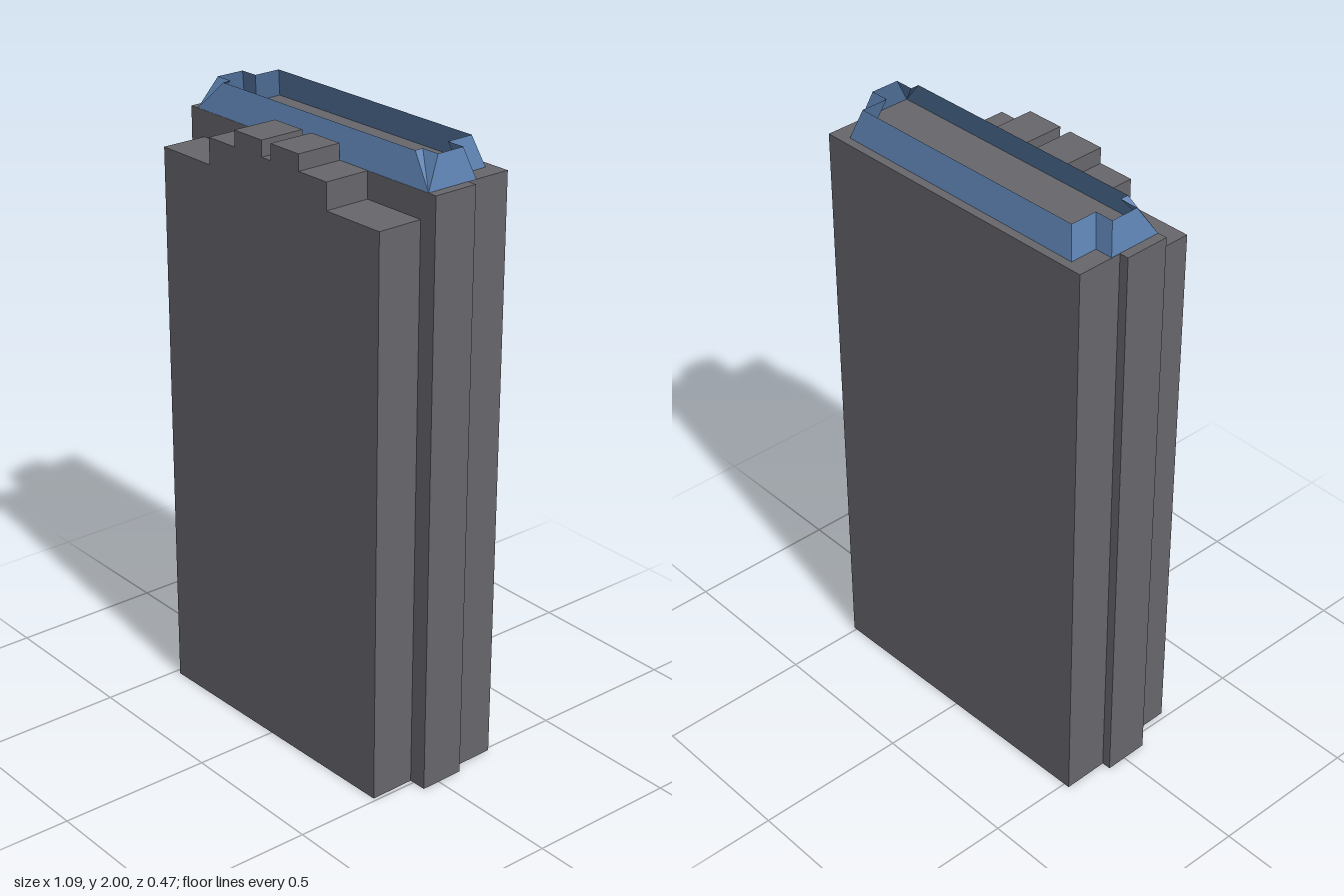
import * as THREE from 'three';

const ROOF = 1.907;

// mirror a half outline (+x side, listed in order) across x = 0 into a closed one
const mirrored = (half) => [...half, ...half.map(([x, ...rest]) => [-x, ...rest]).reverse()];

const shapeOf = (points) => new THREE.Shape(points.map(([x, y]) => new THREE.Vector2(x, y)));

const extrude = (points, depth) =>
  new THREE.ExtrudeGeometry(shapeOf(points), { depth, bevelEnabled: false });

// open sloping band between a base outline and a top outline
function crownGeometry() {
  // base x, base z, top x, top z; the front corners fan out from one base point
  const ring = mirrored([
    [0.455, -0.2, 0.425, -0.172],
    [0.455, -0.108, 0.425, -0.081],
    [0.514, -0.108, 0.487, -0.081],
    [0.514, 0.0715, 0.487, 0.0135],
    [0.514, 0.0715, 0.425, 0.0135],
    [0.514, 0.0715, 0.425, 0.0415],
  ].map(([bx, bz, tx, tz]) => [bx, tx, bz, tz]).map(([bx, tx, bz, tz]) => [bx, bz, tx, tz]))
    .map(([bx, bz, tx, tz]) => ({
      base: [bx, ROOF, bz],
      top: [Math.sign(bx) * Math.abs(tx), 2, tz],
    }));
  const positions = [];
  ring.forEach((a, i) => {
    const b = ring[(i + 1) % ring.length];
    positions.push(...a.base, ...a.top, ...b.top);
    const sameBase = a.base.every((v, k) => v === b.base[k]);
    if (!sameBase) positions.push(...a.base, ...b.top, ...b.base);
  });
  const geometry = new THREE.BufferGeometry();
  geometry.setAttribute('position', new THREE.Float32BufferAttribute(positions, 3));
  geometry.computeVertexNormals();
  return geometry;
}

export function createModel() {
  const model = new THREE.Group();
  model.name = 'towerBlock';

  const concrete = new THREE.MeshStandardMaterial({ color: 0x67666c });
  concrete.name = 'concreteGrey';
  const blue = new THREE.MeshStandardMaterial({ color: 0x5a7eac, side: THREE.DoubleSide });
  blue.name = 'roofBlue';

  const add = (name, geometry, material) => {
    const mesh = new THREE.Mesh(geometry, material);
    mesh.name = name;
    model.add(mesh);
    return mesh;
  };

  // main tower: stepped floor plan (x, -z) raised to the roof
  const plan = mirrored([
    [0.545, -0.0725], [0.545, 0.077], [0.515, 0.077], [0.515, 0.2285],
  ]);
  add('mainTower', extrude(plan, ROOF).rotateX(-Math.PI / 2), concrete);

  // front slab: stepped skyline with a notch in the middle
  const skyline = mirrored([
    [0.485, 0], [0.485, 1.823], [0.264, 1.823], [0.264, ROOF],
    [0.144, ROOF], [0.144, 1.958], [0.02, 1.958], [0.02, ROOF],
  ]);
  add('frontSlab', extrude(skyline, 0.151).translate(0, 0, 0.0725), concrete);

  // sloping blue parapet, open at the top
  add('roofParapet', crownGeometry(), blue);

  // the building stands slightly turned
  model.rotation.y = 0.0194;
  return model;
}
